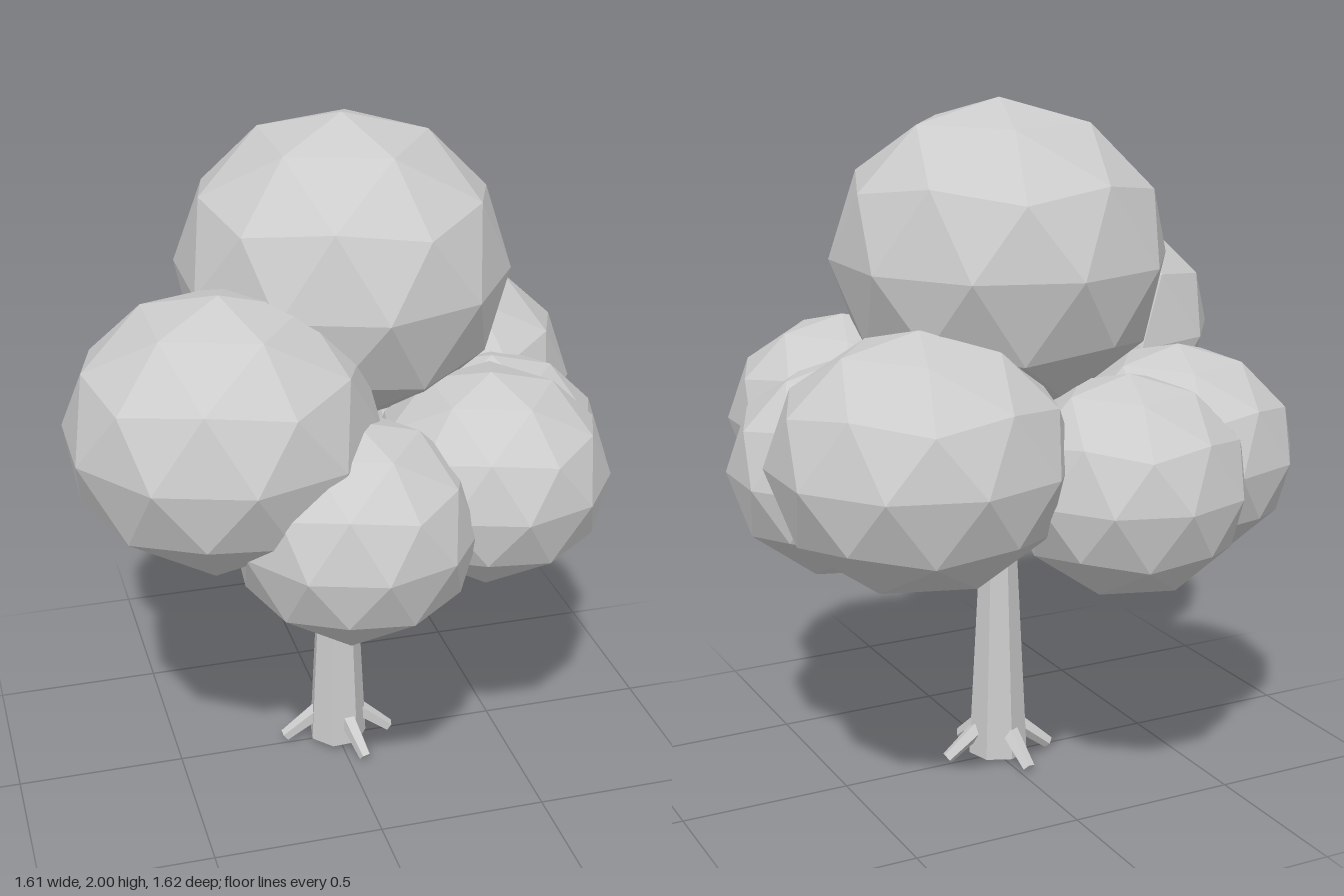
import * as THREE from 'three';

const UP = new THREE.Vector3(0, 1, 0);

export function createModel() {
  const tree = new THREE.Group();
  tree.name = 'tree';
  const grey = new THREE.MeshStandardMaterial({ color: 0xcccccc, flatShading: true });
  grey.name = 'light grey';

  const add = (name, geometry) => {
    const mesh = new THREE.Mesh(geometry, grey);
    mesh.name = name;
    tree.add(mesh);
    return mesh;
  };

  // Tapered limb between two points
  const limb = (name, from, to, r0, r1, sides) => {
    const a = new THREE.Vector3(...from);
    const b = new THREE.Vector3(...to);
    const dir = b.clone().sub(a);
    const mesh = add(name, new THREE.CylinderGeometry(r1, r0, dir.length(), sides).rotateY(0.5));
    mesh.position.copy(a).add(b).multiplyScalar(0.5);
    mesh.quaternion.setFromUnitVectors(UP, dir.normalize());
  };

  // Slightly flattened foliage balls: name, centre, radii along x, y and z
  const foliage = [
    ['crown', [0.03, 1.56, -0.07], [0.478, 0.44, 0.497]],
    ['frontRightFoliage', [-0.4, 1.26, 0.287], [0.434, 0.382, 0.434]],
    ['backLeftFoliage', [0.4, 1.07, -0.335], [0.42, 0.358, 0.412]],
    ['frontLeftFoliage', [0.35, 1.05, 0.322], [0.345, 0.303, 0.345]],
    ['frontFoliage', [-0.08, 1.01, 0.47], [0.34, 0.312, 0.34]],
    ['leftFoliage', [0.45, 0.965, 0.05], [0.348, 0.315, 0.345]],
    ['backFoliage', [-0.16, 0.97, -0.475], [0.34, 0.312, 0.34]],
    ['backRightFoliage', [-0.41, 1.0, -0.325], [0.342, 0.312, 0.345]],
  ];
  for (const [name, centre, radii] of foliage) {
    const ball = new THREE.IcosahedronGeometry(1, 1);
    // Stand the ball on one of its corners, then size it
    ball.rotateZ(-Math.atan(2 / (1 + Math.sqrt(5)))).scale(...radii);
    add(name, ball).position.set(...centre);
  }

  // Trunk and the upright limb into the crown
  limb('trunk', [0, 0.02, 0], [-0.002, 0.7, 0], 0.09, 0.055, 7);
  limb('leader', [-0.002, 0.66, 0], [0.02, 1.25, -0.05], 0.035, 0.022, 6);

  // Branches reaching into the outer foliage
  for (const i of [1, 2, 5, 6]) {
    const [x, y, z] = foliage[i][1];
    limb('branch', [0, 0.63, 0], [x * 0.85, 0.63 + (y - 0.63) * 0.85, z * 0.85], 0.034, 0.02, 5);
  }

  // Four splayed roots
  for (const degrees of [4, 73, 187, 262]) {
    const angle = THREE.MathUtils.degToRad(degrees);
    const c = Math.cos(angle), s = Math.sin(angle);
    limb('root', [0.05 * c, 0.11, 0.05 * s], [0.165 * c, 0.018, 0.165 * s], 0.028, 0.019, 5);
  }

  return tree;
}
